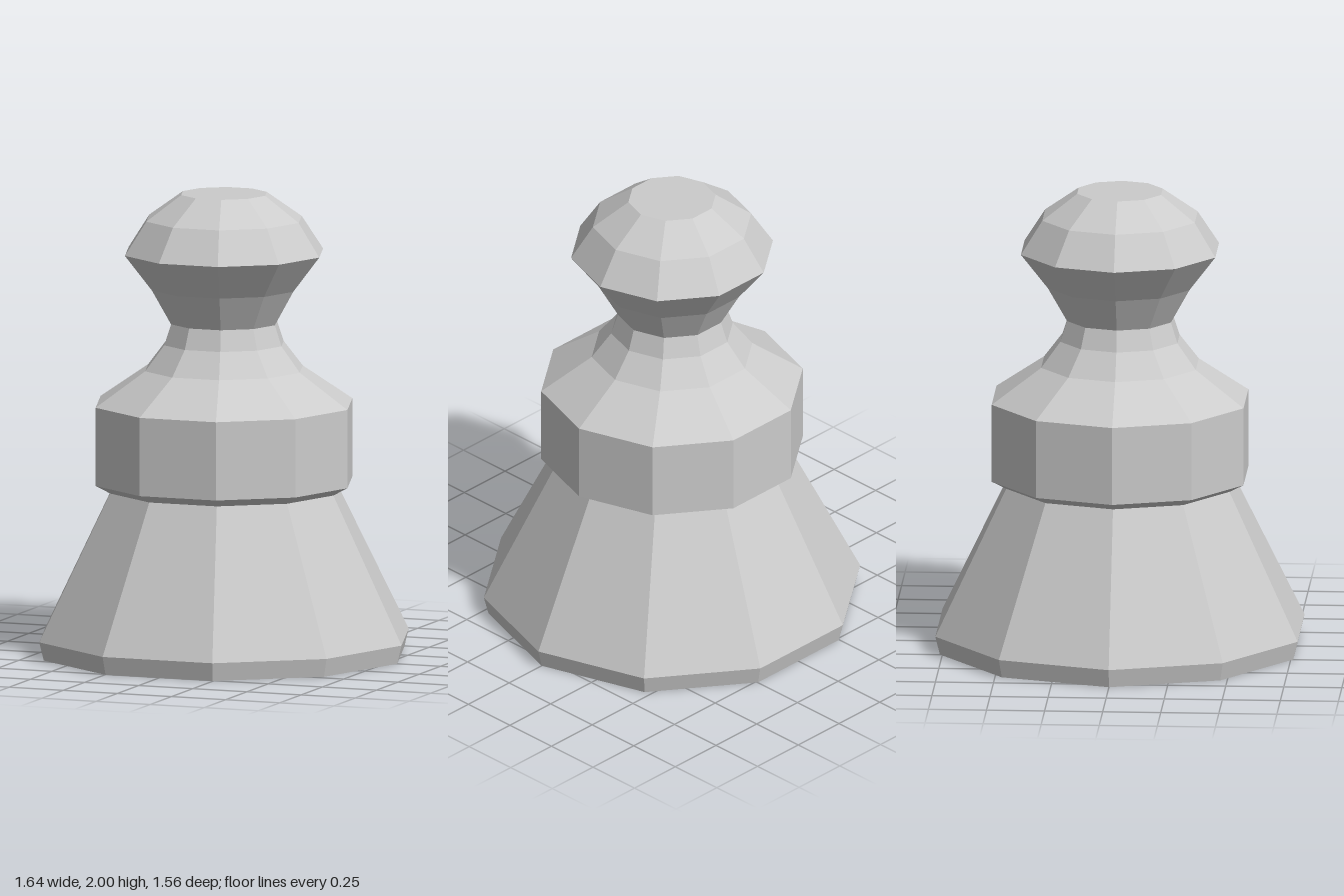
import * as THREE from 'three';

const SIDES = 10;

// Faceted turned part from [radius, height] pairs, listed bottom to top
function turned(name, profile, material) {
  const points = profile.map(([r, y]) => new THREE.Vector2(r, y));
  // Quarter-turn start puts a corner on the x axis
  const geometry = new THREE.LatheGeometry(points, SIDES, Math.PI / 2).toNonIndexed();
  geometry.computeVertexNormals();
  const mesh = new THREE.Mesh(geometry, material);
  mesh.name = name;
  return mesh;
}

export function createModel() {
  const material = new THREE.MeshStandardMaterial({ color: 0xcccccc, flatShading: true });
  const group = new THREE.Group();
  group.name = 'pawn';
  group.add(
    // Flared foot, closed underneath
    turned('base', [[0, 0], [0.8, 0], [0.82, 0.08], [0.505, 0.715]], material),
    // Wide band with a small bevel below
    turned('collar', [[0.505, 0.715], [0.57, 0.75], [0.57, 1.09]], material),
    // Sloped shoulder narrowing to the neck
    turned('neck', [[0.57, 1.09], [0.35, 1.24], [0.265, 1.35], [0.235, 1.44]], material),
    // Faceted knob with a flat top
    turned('head', [[0.235, 1.44], [0.32, 1.59], [0.44, 1.745], [0.345, 1.89], [0.19, 2], [0, 2]], material),
  );
  return group;
}
